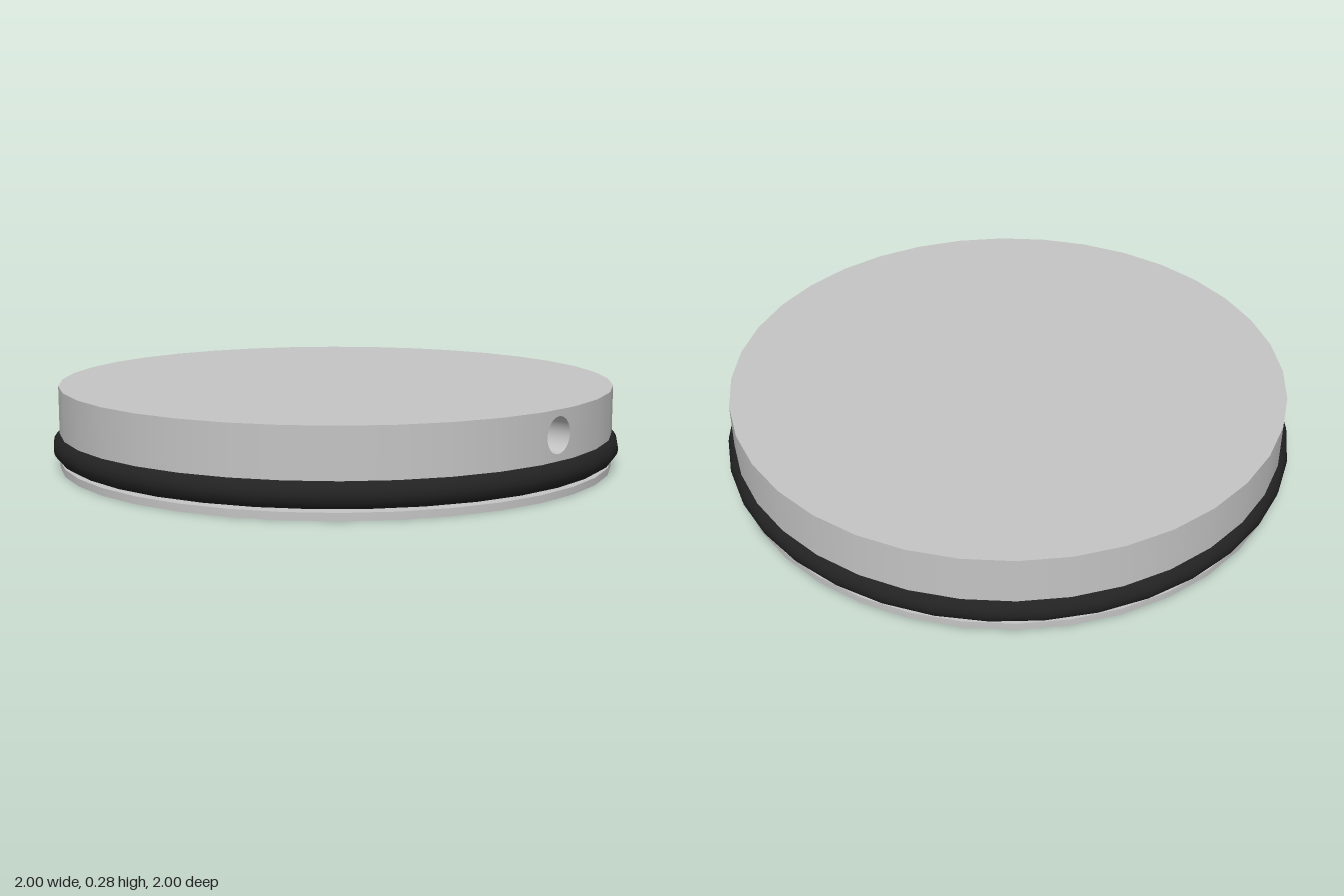
import * as THREE from 'three';

const R = 0.975;          // body radius
const CORE = 0.9;         // radius at the bottom of the groove
const H = 0.285;          // total height
const LIP = 0.025;        // top of the thin bottom lip
const GROOVE = 0.12;      // top of the groove
const SEG = 36;
const STEP = (Math.PI * 2) / SEG;
const HOLE_D = 0.85, HOLE_R = 0.07;           // bottom holes
const holeAngles = [Math.PI / 3, Math.PI, -Math.PI / 3];

const polar = (r, a, cx = 0, cy = 0) => new THREE.Vector2(cx + r * Math.cos(a), cy + r * Math.sin(a));

function circlePoints(r, n, offset = 0, cx = 0, cy = 0) {
  return Array.from({ length: n }, (_, i) => polar(r, offset + (i / n) * Math.PI * 2, cx, cy));
}

// Extrudes a plan shape between two heights, with smooth outer side normals
function slab(shape, y0, y1, outerR) {
  const g = new THREE.ExtrudeGeometry(shape, { depth: y1 - y0, bevelEnabled: false });
  g.rotateX(Math.PI / 2).translate(0, y1, 0);
  const p = g.attributes.position, n = g.attributes.normal;
  for (let i = 0; i < p.count; i++) {
    const r = Math.hypot(p.getX(i), p.getZ(i));
    if (Math.abs(n.getY(i)) < 0.5 && Math.abs(r - outerR) < 1e-4) n.setXYZ(i, p.getX(i) / r, 0, p.getZ(i) / r);
  }
  return g;
}

// Groove core outline, notched where the bottom holes break through its side
function coreShape() {
  const phi = Math.acos((CORE ** 2 + HOLE_D ** 2 - HOLE_R ** 2) / (2 * CORE * HOLE_D));
  const beta = Math.atan2(CORE * Math.sin(phi), CORE * Math.cos(phi) - HOLE_D);
  const third = (Math.PI * 2) / 3;
  const pts = [];
  for (let k = 0; k < 3; k++) {
    const a = Math.PI / 3 + k * third;
    const [cx, cy] = [HOLE_D * Math.cos(a), HOLE_D * Math.sin(a)];
    for (let i = 0; i <= 18; i++) {
      pts.push(polar(HOLE_R, a - beta - (i / 18) * (Math.PI * 2 - 2 * beta), cx, cy));
    }
    for (let i = 1; i < 12; i++) pts.push(polar(CORE, a + phi + (i / 12) * (third - 2 * phi)));
  }
  return new THREE.Shape(pts);
}

export function createModel() {
  const model = new THREE.Group();
  model.name = 'sealedDisc';
  const metal = new THREE.MeshStandardMaterial({ color: 0xc4c4c4, side: THREE.DoubleSide });
  metal.name = 'grey metal';
  const rubber = new THREE.MeshStandardMaterial({ color: 0x222222 });
  rubber.name = 'black rubber';
  const add = (parent, name, geometry, material = metal) => {
    const mesh = new THREE.Mesh(geometry, material);
    mesh.name = name;
    parent.add(mesh);
    return mesh;
  };

  // Bottom lip with three round holes
  const lip = new THREE.Shape(circlePoints(R, SEG, STEP / 2));
  for (const a of holeAngles) {
    lip.holes.push(new THREE.Path(circlePoints(HOLE_R, 24, 0, HOLE_D * Math.cos(a), HOLE_D * Math.sin(a))));
  }
  add(model, 'bottomLip', slab(lip, 0, LIP, R));

  // Groove core and the seal ring sitting around it
  add(model, 'grooveCore', slab(coreShape(), LIP, GROOVE, CORE));
  const ring = new THREE.TorusGeometry(0.955, 0.045, 16, SEG);
  ring.rotateX(Math.PI / 2).translate(0, 0.077, 0);
  add(model, 'sealRing', ring, rubber);

  // Upper body: two faces and a wall that leaves one facet open
  const face = () => new THREE.CircleGeometry(R, SEG, STEP / 2);
  add(model, 'topFace', face().rotateX(-Math.PI / 2).translate(0, H, 0));
  add(model, 'upperUnderside', face().rotateX(Math.PI / 2).translate(0, GROOVE, 0));
  const portAngle = Math.PI / 3;
  const wall = new THREE.CylinderGeometry(R, R, H - GROOVE, SEG - 1, 1, true, portAngle + STEP / 2, Math.PI * 2 - STEP);
  add(model, 'upperWall', wall.translate(0, (H + GROOVE) / 2, 0));

  // Open facet filled by a panel with the side port
  const port = new THREE.Group();
  port.name = 'sidePort';
  port.rotation.y = portAngle;
  model.add(port);
  const half = R * Math.sin(STEP / 2), z = R * Math.cos(STEP / 2);
  const portY = 0.203, portR = 0.06, depth = 0.32;
  const panel = new THREE.Shape([
    new THREE.Vector2(-half, GROOVE), new THREE.Vector2(half, GROOVE),
    new THREE.Vector2(half, H), new THREE.Vector2(-half, H),
  ]);
  panel.holes.push(new THREE.Path(circlePoints(portR, 32, 0, 0, portY)));
  const panelGeo = new THREE.ShapeGeometry(panel).translate(0, 0, z);
  const p = panelGeo.attributes.position, n = panelGeo.attributes.normal;
  for (let i = 0; i < p.count; i++) n.setXYZ(i, p.getX(i) / R, 0, Math.sqrt(1 - (p.getX(i) / R) ** 2));
  add(port, 'portPanel', panelGeo);
  const bore = new THREE.CylinderGeometry(portR, portR, depth, 32, 1, true);
  add(port, 'portBore', bore.rotateX(Math.PI / 2).translate(0, portY, z - depth / 2));
  add(port, 'portEnd', new THREE.CircleGeometry(portR, 32).translate(0, portY, z - depth));

  return model;
}
